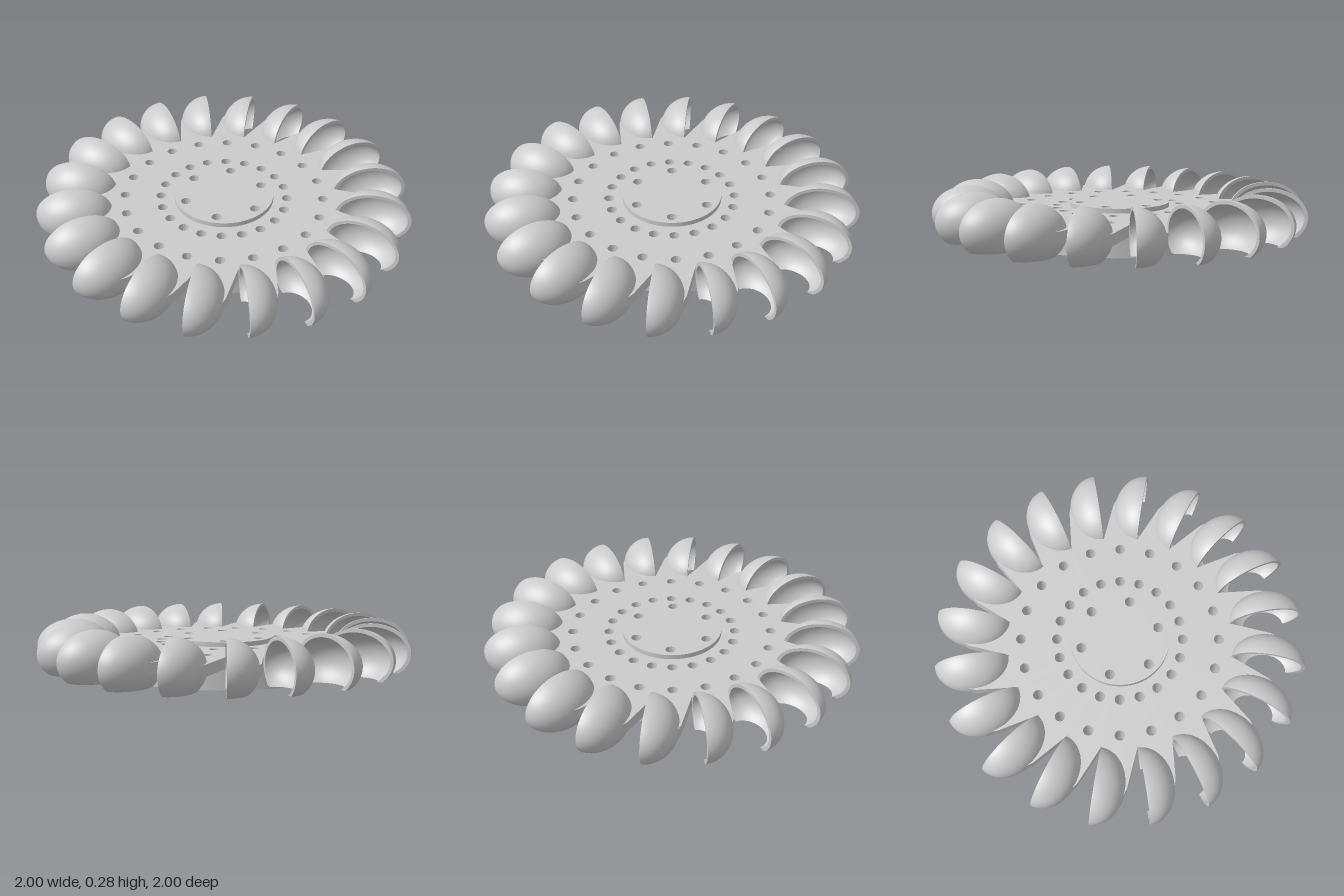
import * as THREE from 'three';
import { toCreasedNormals } from 'three/addons/utils/BufferGeometryUtils.js';

const COUNT = 20, STEP = (2 * Math.PI) / COUNT, START = THREE.MathUtils.degToRad(6.8);
const HOLE = 0.027, RING_RADII = [0.34, 0.535], HUB_HOLE_R = 0.215;
// Cup: half ellipsoid shell, cut flat near the bottom
const CUP = { u: 0.805, y: 0.135, a: 0.2025, h: 0.15, b: 0.158, wall: 0.018, cut: 0.105 };

const material = new THREE.MeshStandardMaterial({ color: 0xcccccc });
const shellMaterial = new THREE.MeshStandardMaterial({ color: 0xcccccc, side: THREE.DoubleSide });

function addHole(shape, r, angle) {
  const hole = new THREE.Path();
  hole.absarc(r * Math.cos(angle), r * Math.sin(angle), HOLE, 0, Math.PI * 2, true);
  shape.holes.push(hole);
}

// Upright slab from a plan outline (plan y points to -z)
function slab(shape, y0, y1, curveSegments) {
  const g = new THREE.ExtrudeGeometry(shape, { depth: y1 - y0, bevelEnabled: false, curveSegments });
  g.rotateX(-Math.PI / 2);
  g.translate(0, y0, 0);
  return toCreasedNormals(g, 0.5);
}

function mesh(name, geometry, mat = material) {
  const m = new THREE.Mesh(geometry, mat);
  m.name = name;
  return m;
}

function circle(r) {
  const s = new THREE.Shape();
  s.absarc(0, 0, r, 0, Math.PI * 2, false);
  return s;
}

function addHubHoles(shape) {
  for (let i = 0; i < 6; i++) addHole(shape, HUB_HOLE_R, Math.PI / 2 + (i * Math.PI) / 3);
}

// Part of the ellipsoid behind the opening, shrunk by t and cut at the bottom
function cupSurface(t) {
  const h = CUP.h - t;
  const g = new THREE.SphereGeometry(1, 40, 28, Math.PI, Math.PI, 0, Math.acos(-CUP.cut / h));
  g.scale(CUP.a - t, h, CUP.b - t);
  return g;
}

// Rim of the open face
function faceRim() {
  const { a, h, wall, cut } = CUP;
  const lo = Math.asin(-cut / h), li = Math.asin(-cut / (h - wall));
  const s = new THREE.Shape();
  s.absellipse(0, 0, a, h, lo, Math.PI - lo, false);
  s.absellipse(0, 0, a - wall, h - wall, Math.PI - li, li, true);
  return new THREE.ShapeGeometry(s, 32);
}

// Crescent where the bottom of the cup is cut away
function bottomRim() {
  const { a, b, h, wall, cut } = CUP;
  const so = Math.sqrt(1 - (cut / h) ** 2), si = Math.sqrt(1 - (cut / (h - wall)) ** 2);
  const s = new THREE.Shape();
  s.absellipse(0, 0, a * so, b * so, 0, Math.PI, false);
  s.absellipse(0, 0, (a - wall) * si, (b - wall) * si, Math.PI, 0, true);
  const g = new THREE.ShapeGeometry(s, 24);
  g.rotateX(-Math.PI / 2);
  g.translate(0, -cut, 0);
  return g;
}

// Wedge between two cup planes, running out behind its cup as a brace
function wedgeGeometry() {
  const s = new THREE.Shape();
  const half = CUP.wall / 2;
  s.absarc(0, 0, 0.262, STEP, 0, true);
  s.absellipse(CUP.u, 0, CUP.a - half, CUP.b - half, Math.PI, Math.PI * 0.36, true);
  s.lineTo(0.8, 0.165);
  s.lineTo(0.6 * Math.cos(STEP), 0.6 * Math.sin(STEP));
  for (const r of RING_RADII) addHole(s, r, STEP / 2);
  return slab(s, 0.107, 0.165, 20);
}

export function createModel() {
  const wheel = new THREE.Group();
  wheel.name = 'bucketWheel';

  // Base disc with all bolt holes
  const base = circle(0.595);
  addHubHoles(base);
  for (let i = 0; i < COUNT; i++)
    for (const r of RING_RADII) addHole(base, r, STEP / 2 - START + i * STEP);
  wheel.add(mesh('baseDisc', slab(base, 0, 0.107, 40)));

  // Raised hub
  const hub = circle(0.267);
  addHubHoles(hub);
  wheel.add(mesh('hub', slab(hub, 0.107, 0.19, 40)));

  // Buckets, each a wedge and a cup
  const wedge = wedgeGeometry();
  const cupParts = {
    cupOuter: cupSurface(0), cupInner: cupSurface(CUP.wall),
    cupFaceRim: faceRim(), cupBottomRim: bottomRim(),
  };
  for (let i = 0; i < COUNT; i++) {
    const bucket = new THREE.Group();
    bucket.name = 'bucket' + (i + 1);
    bucket.add(mesh('wedge', wedge));
    const cup = new THREE.Group();
    cup.name = 'cup';
    cup.position.set(CUP.u, CUP.y, 0);
    for (const [name, g] of Object.entries(cupParts)) cup.add(mesh(name, g, shellMaterial));
    bucket.add(cup);
    bucket.rotation.y = -START - i * STEP;
    wheel.add(bucket);
  }
  return wheel;
}
